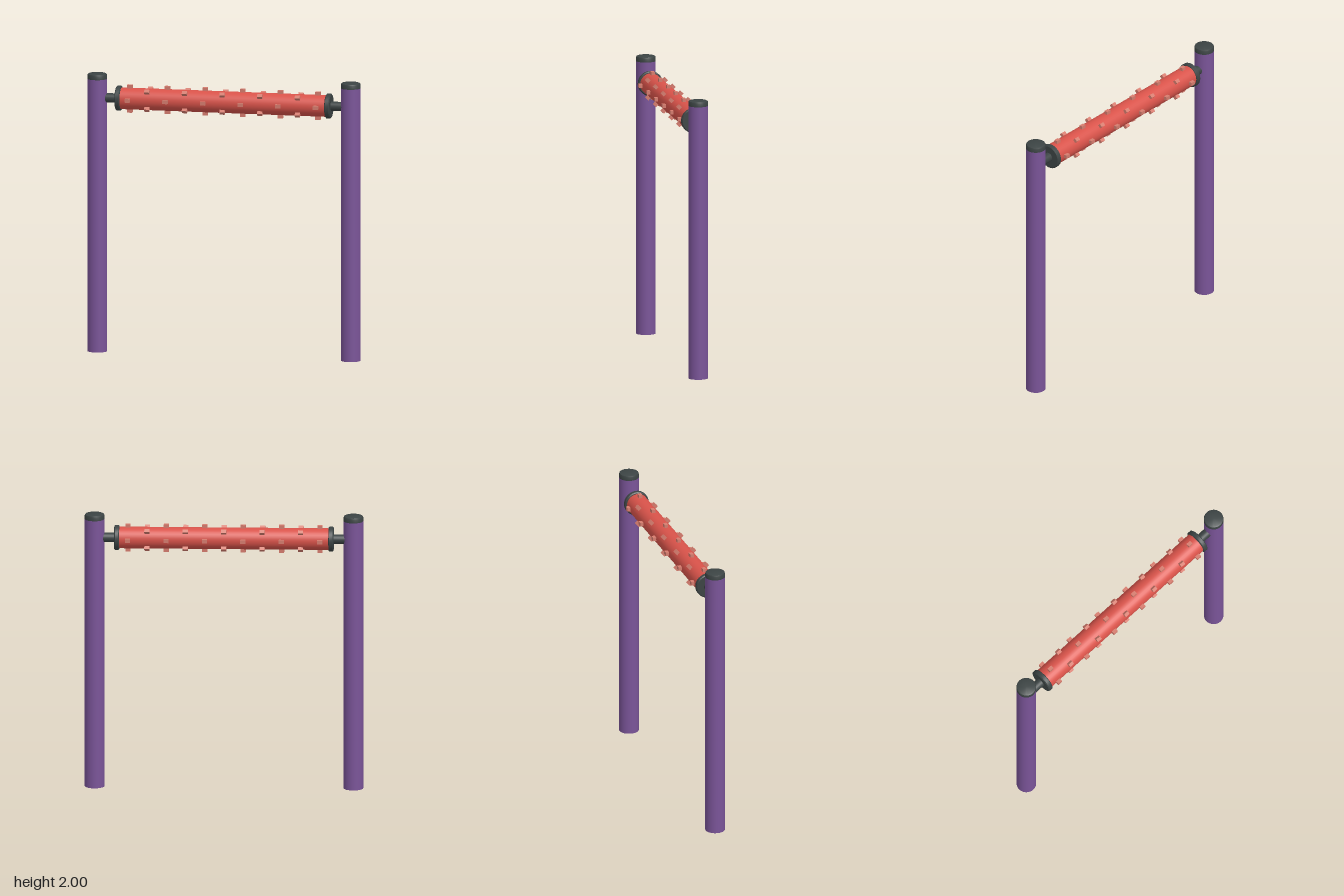
import * as THREE from 'three';
import { toCreasedNormals } from 'three/addons/utils/BufferGeometryUtils.js';

export function createModel() {
  const model = new THREE.Group();
  model.name = 'rollerFrame';

  const mat = (name, color) => {
    const m = new THREE.MeshStandardMaterial({ color });
    m.name = name;
    return m;
  };
  const purple = mat('purplePaint', 0x7a5498);
  const dark = mat('darkPlastic', 0x3c4444);
  const red = mat('redRoller', 0xd9534a);
  const salmon = mat('salmonStud', 0xd67c6e);

  const add = (parent, name, geometry, material, x = 0, y = 0, z = 0) => {
    const mesh = new THREE.Mesh(geometry, material);
    mesh.name = name;
    mesh.position.set(x, y, z);
    parent.add(mesh);
    return mesh;
  };
  const lathe = (points) => toCreasedNormals(
    new THREE.LatheGeometry(points.map(([r, h]) => new THREE.Vector2(r, h)), 32), 0.5);

  const postX = 0.917, postR = 0.07, axisY = 1.825;
  const rollerR = 0.077;

  // Posts with softly domed caps
  const postGeo = new THREE.CylinderGeometry(postR, postR, 1.96, 32);
  const capGeo = lathe([[0, 0], [postR, 0], [postR, 0.026], [0.067, 0.034], [0.058, 0.038], [0, 0.04]]);
  // Bevelled end flange and axle, turned to lie along x
  const flangeGeo = lathe([
    [0, 0], [0.082, 0], [0.089, 0.006], [0.089, 0.03], [0.082, 0.036], [0, 0.036],
  ]);
  const axleGeo = new THREE.CylinderGeometry(0.033, 0.033, 0.11, 24);

  for (const [side, label] of [[1, 'left'], [-1, 'right']]) {
    add(model, label + 'Post', postGeo, purple, side * postX, 0.98);
    add(model, label + 'PostCap', capGeo, dark, side * postX, 1.96);
    add(model, label + 'Flange', flangeGeo, dark, side * 0.741, axisY).rotation.z = -side * Math.PI / 2;
    add(model, label + 'Axle', axleGeo, dark, side * 0.815, axisY).rotation.z = Math.PI / 2;
  }

  // Roller drum
  const roller = new THREE.Group();
  roller.name = 'roller';
  roller.position.y = axisY;
  model.add(roller);
  add(roller, 'drum', new THREE.CylinderGeometry(rollerR, rollerR, 1.5, 32), red).rotation.z = Math.PI / 2;

  // Rings of four studs, every other ring turned by 45 degrees
  const studGeo = new THREE.BoxGeometry(0.036, 0.04, 0.026);
  studGeo.translate(0, 0.08, 0);
  for (let ring = 0; ring < 11; ring++) {
    for (let k = 0; k < 4; k++) {
      const stud = add(roller, 'stud', studGeo, salmon, (ring - 5) * 0.1362);
      stud.rotation.x = k * Math.PI / 2 + (ring % 2) * Math.PI / 4;
    }
  }
  return model;
}
